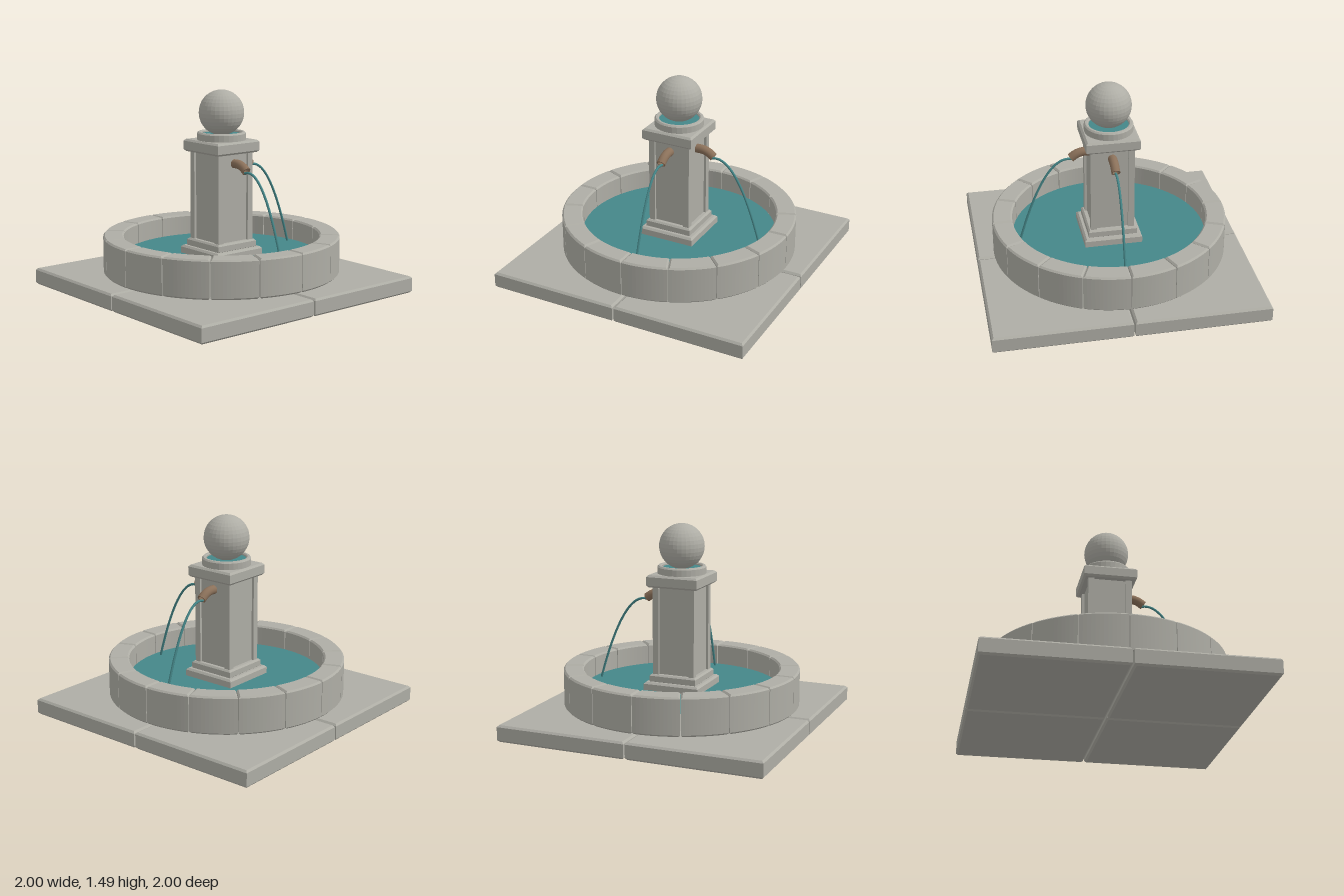
import * as THREE from 'three';

const stone = new THREE.MeshStandardMaterial({ color: 0xaeada5 });
stone.name = 'stone';
stone.flatShading = true;
const water = new THREE.MeshStandardMaterial({ color: 0x458789, side: THREE.DoubleSide });
water.name = 'water';
const copper = new THREE.MeshStandardMaterial({ color: 0x8b715a, side: THREE.DoubleSide });
copper.name = 'copper';

function add(parent, name, geometry, material) {
  const mesh = new THREE.Mesh(geometry, material);
  mesh.name = name;
  parent.add(mesh);
  return mesh;
}

// Extrudes a plan outline upward from y0 to y1 with chamfered edges
function chamferedPrism(shape, y0, y1, bevel, curveSegments = 6) {
  const geometry = new THREE.ExtrudeGeometry(shape, {
    depth: y1 - y0 - 2 * bevel, bevelThickness: bevel, bevelSize: bevel,
    bevelOffset: -bevel, bevelSegments: 1, curveSegments,
  });
  return geometry.rotateX(-Math.PI / 2).translate(0, y0 + bevel, 0);
}

function chamferedBox(halfX, halfZ, y0, y1, bevel) {
  const shape = new THREE.Shape([
    new THREE.Vector2(-halfX, -halfZ), new THREE.Vector2(halfX, -halfZ),
    new THREE.Vector2(halfX, halfZ), new THREE.Vector2(-halfX, halfZ),
  ]);
  return chamferedPrism(shape, y0, y1, bevel);
}

const CORNERS = [[1, 1], [1, -1], [-1, -1], [-1, 1]];

function buildPaving() {
  const group = new THREE.Group();
  group.name = 'paving';
  const half = 0.497;
  for (const [sx, sz] of CORNERS) {
    const slab = add(group, 'pavingSlab', chamferedBox(half, half, 0, 0.125, 0.014), stone);
    slab.position.set(sx * (1 - half), 0, sz * (1 - half));
  }
  return group;
}

function buildBasin() {
  const group = new THREE.Group();
  group.name = 'basin';
  const count = 16, step = (Math.PI * 2) / count, inner = 0.725, outer = 0.876;
  // Wedge-shaped rim block, with a narrow joint on both ends
  const block = new THREE.Shape();
  block.absarc(0, 0, outer, 0.003, step - 0.003, false);
  block.absarc(0, 0, inner, step - 0.004, 0.004, true);
  const geometry = chamferedPrism(block, 0.147, 0.427, 0.012);
  for (let i = 0; i < count; i++) {
    add(group, 'rimBlock', geometry, stone).rotation.y = i * step;
  }
  const pool = new THREE.CircleGeometry(0.727, 64).rotateX(-Math.PI / 2);
  add(group, 'poolWater', pool, water).position.y = 0.27;
  return group;
}

function buildPillar() {
  const group = new THREE.Group();
  group.name = 'pillar';
  add(group, 'plinth', chamferedBox(0.215, 0.215, 0.147, 0.33, 0.014), stone);
  add(group, 'plinthStep', chamferedBox(0.182, 0.182, 0.32, 0.385, 0.012), stone);
  // Recessed panels between four corner posts
  const core = new THREE.BoxGeometry(0.29, 0.68, 0.29);
  add(group, 'recessedPanels', core, stone).position.y = 0.71;
  for (const [sx, sz] of CORNERS) {
    const post = add(group, 'cornerPost', chamferedBox(0.023, 0.023, 0.37, 1.05, 0.005), stone);
    post.position.set(sx * 0.14, 0, sz * 0.14);
  }
  add(group, 'capital', chamferedBox(0.198, 0.198, 1.037, 1.128, 0.014), stone);

  // Shallow collar bowl holding the ball
  const profile = [
    [0.18, 1.125], [0.18, 1.175], [0.17, 1.186], [0.155, 1.186], [0.147, 1.178], [0.147, 1.125],
  ].map(([r, y]) => new THREE.Vector2(r, y));
  add(group, 'collar', new THREE.LatheGeometry(profile, 32), stone);
  const bowl = new THREE.CircleGeometry(0.148, 32).rotateX(-Math.PI / 2);
  add(group, 'collarWater', bowl, water).position.y = 1.168;
  add(group, 'ball', new THREE.SphereGeometry(0.167, 32, 18), stone).position.y = 1.326;
  return group;
}

// Bent pipe and falling jet, pointing along +x
function buildSpout() {
  const group = new THREE.Group();
  group.name = 'spout';
  const bend = new THREE.CatmullRomCurve3([
    [0.14, 0.964], [0.195, 0.964], [0.24, 0.95], [0.281, 0.922],
  ].map(([x, y]) => new THREE.Vector3(x, y, 0)));
  add(group, 'pipe', new THREE.TubeGeometry(bend, 10, 0.033, 16), copper);
  add(group, 'pipeBore', new THREE.TubeGeometry(bend, 10, 0.024, 16), copper);
  const lip = add(group, 'pipeLip', new THREE.RingGeometry(0.024, 0.033, 16), copper);
  lip.position.copy(bend.getPoint(1));
  lip.quaternion.setFromUnitVectors(new THREE.Vector3(0, 0, 1), bend.getTangent(1));

  const points = [];
  for (let i = 0; i <= 12; i++) {
    const x = 0.265 + (0.405 * i) / 12;
    points.push(new THREE.Vector3(x, 0.915 - 4.75 * (x - 0.302) ** 2, 0));
  }
  const path = new THREE.CatmullRomCurve3(points);
  add(group, 'waterJet', new THREE.TubeGeometry(path, 28, 0.009, 8), water);
  return group;
}

export function createModel() {
  const model = new THREE.Group();
  model.name = 'fountain';
  const leftSpout = buildSpout();
  const frontSpout = buildSpout();
  frontSpout.rotation.y = -Math.PI / 2;
  model.add(buildPaving(), buildBasin(), buildPillar(), leftSpout, frontSpout);
  return model;
}
